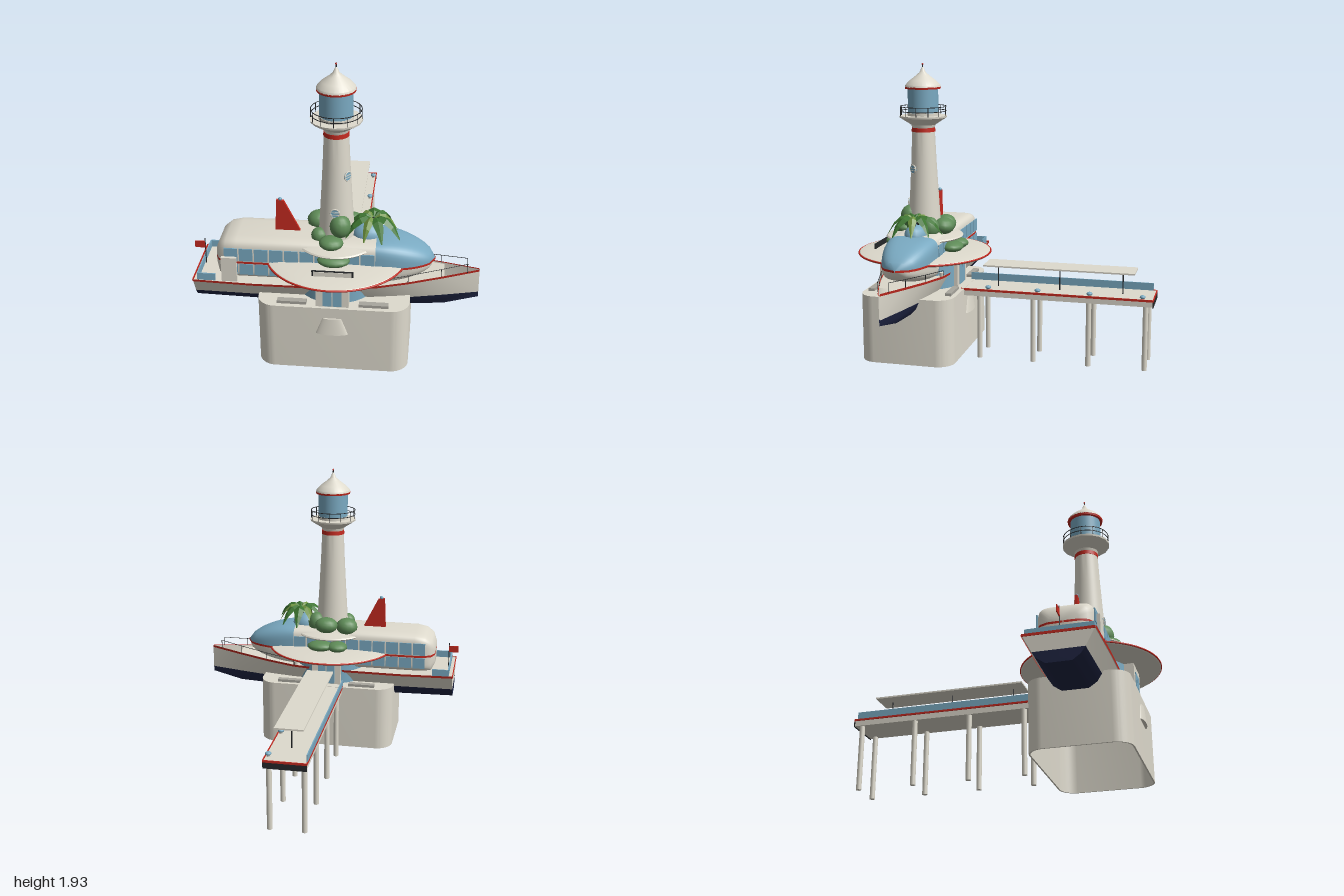
import * as THREE from 'three';
import { toCreasedNormals } from 'three/addons/utils/BufferGeometryUtils.js';

const mat = (name, color) => {
  const m = new THREE.MeshStandardMaterial({ color, side: THREE.DoubleSide });
  m.name = name;
  return m;
};

export function createModel() {
  const white = mat('warm white', 0xdedacd), red = mat('red', 0xc42a20), blue = mat('glass blue', 0x7aaac2);
  const navy = mat('navy', 0x1e2442), dark = mat('charcoal', 0x26282a), grey = mat('grey', 0xa9a79e);
  const bushGreen = mat('bush green', 0x5f8c58), leafGreen = mat('palm green', 0x3c7430), lime = mat('light palm green', 0x6f9440);

  const model = new THREE.Group();
  const station = new THREE.Group(); // everything centred on the tower axis
  station.name = 'station';
  station.position.z = 0.55;
  model.add(station);

  const add = (name, geo, m, x = 0, y = 0, z = 0, parent = station) => {
    const mesh = new THREE.Mesh(geo, m);
    mesh.name = name;
    mesh.position.set(x, y, z);
    parent.add(mesh);
    return mesh;
  };
  // Box given by its limits
  const box = (name, m, x0, x1, y0, y1, z0, z1, parent = station) =>
    add(name, new THREE.BoxGeometry(x1 - x0, y1 - y0, z1 - z0), m, (x0 + x1) / 2, (y0 + y1) / 2, (z0 + z1) / 2, parent);
  const cyl = (name, m, r0, r1, y0, y1, x = 0, z = 0, parent = station, n = 32) =>
    add(name, new THREE.CylinderGeometry(r1, r0, y1 - y0, n), m, x, (y0 + y1) / 2, z, parent);
  const lathe = (name, m, pts, n = 48) =>
    add(name, toCreasedNormals(new THREE.LatheGeometry(pts.map(p => new THREE.Vector2(...p)), n), 0.5), m);
  const rod = (name, m, a, b, r = 0.003) =>
    add(name, new THREE.TubeGeometry(new THREE.LineCurve3(new THREE.Vector3(...a), new THREE.Vector3(...b)), 1, r, 6), m);
  const ball = (name, m, x, y, z, rx, ry = rx, rz = rx, parent = station) => {
    const b = add(name, new THREE.SphereGeometry(1, 14, 10), m, x, y, z, parent);
    b.scale.set(rx, ry, rz);
    return b;
  };
  // Skin through a row of equal-length cross-sections
  const loft = (name, m, rings, crease = 0.6) => {
    const n = rings[0].length, idx = [];
    for (let i = 0; i < rings.length - 1; i++)
      for (let j = 0; j < n - 1; j++) {
        const a = i * n + j, b = a + n;
        idx.push(a, b, a + 1, b, b + 1, a + 1);
      }
    const g = new THREE.BufferGeometry();
    g.setAttribute('position', new THREE.Float32BufferAttribute(rings.flat(2), 3));
    g.setIndex(idx);
    return add(name, toCreasedNormals(g, crease), m);
  };

  // Hollow foundation with rounded corners
  const rounded = (Path, w, d, r) => {
    const s = new Path();
    s.absarc(w - r, d - r, r, 0, Math.PI / 2);
    s.absarc(-w + r, d - r, r, Math.PI / 2, Math.PI);
    s.absarc(-w + r, -d + r, r, Math.PI, Math.PI * 1.5);
    s.absarc(w - r, -d + r, r, Math.PI * 1.5, Math.PI * 2);
    s.closePath();
    return s;
  };
  const slab = (name, shape, y, h) => {
    const g = new THREE.ExtrudeGeometry(shape, { depth: h, bevelEnabled: false, curveSegments: 10 });
    g.rotateX(-Math.PI / 2);
    return add(name, toCreasedNormals(g, 0.5), white, 0, y);
  };
  const wall = rounded(THREE.Shape, 0.465, 0.31, 0.11);
  wall.holes.push(rounded(THREE.Path, 0.455, 0.3, 0.1));
  slab('foundationWall', wall, 0.03, 0.43);
  slab('foundationTop', rounded(THREE.Shape, 0.465, 0.31, 0.11), 0.46, 0.01);
  for (const s of [1, -1]) {
    const hood = cyl('foundationHood', white, 0.1, 0.06, 0.29, 0.4, 0, s * 0.305);
    hood.scale.z = 0.28;
    for (const q of [1, -1]) box('deckBench', grey, q * 0.25 - 0.09, q * 0.25 + 0.09, 0.47, 0.488, s * 0.26 - 0.02, s * 0.26 + 0.02);
  }

  // Ship hull: x, half width, rail height, keel height
  const hull = [[-0.87, 0.212, 0.563, 0.375], [-0.5, 0.222, 0.56, 0.37], [0, 0.222, 0.563, 0.37], [0.25, 0.2, 0.572, 0.37],
    [0.45, 0.15, 0.583, 0.37], [0.67, 0.08, 0.597, 0.372], [0.885, 0.003, 0.61, 0.415]];
  const lower = ([x, w, , k]) => [[1, 0.45], [0.82, k + 0.035], [0.5, k], [-0.5, k], [-0.82, k + 0.035], [-1, 0.45]]
    .map(([f, y]) => [x, y, f * w * 0.72]);
  loft('hullBottom', navy, hull.map(lower));
  const flat = ring => ring.map(([x, y]) => [x, y, 0]);
  loft('transomBottom', navy, [lower(hull[0]), flat(lower(hull[0]))]);
  loft('transomTop', white, [0.45, 0.563].map((y, i) => [[-0.87, y, (i ? 1 : 0.72) * 0.212], [-0.87, y, (i ? -1 : -0.72) * 0.212]]));
  loft('shipDeck', white, hull.slice(0, 6).map(([x, w, t]) => [[x, t - 0.008, w], [x, t - 0.008, -w]]));
  for (const s of [1, -1]) {
    loft('hullSide', white, hull.map(([x, w, t]) => [[x, 0.45, s * w * 0.72], [x, t, s * w]]));
    loft('hullStripe', red, hull.map(([x, w, t]) => [[x, t - 0.012, s * (w + 0.001)], [x, t + 0.004, s * (w + 0.004)]]));
    // Bow railing
    const rail = [[0.24, 0.2, 0.572, 0.61], [0.45, 0.148, 0.583, 0.63], [0.65, 0.085, 0.596, 0.648], [0.81, 0.035, 0.604, 0.665]];
    rail.forEach(([x, w, y, t], i) => {
      rod('bowRailPost', dark, [x, y, s * w], [x, t, s * w], 0.002);
      if (i) rod('bowRail', dark, [rail[i - 1][0], rail[i - 1][3], s * rail[i - 1][1]], [x, t, s * w], 0.002);
    });
    cyl('bollard', white, 0.012, 0.016, 0.565, 0.595, 0.23, s * 0.185, station, 12);
    box('sternScreen', blue, -0.84, -0.73, 0.56, 0.607, s * 0.2 - 0.004, s * 0.2 + 0.004);
  }
  box('transomStripe', red, -0.873, -0.868, 0.551, 0.567, -0.212, 0.212);
  box('sternBackScreen', blue, -0.845, -0.837, 0.56, 0.607, -0.2, 0.2);
  box('gangwayDoor', white, -0.69, -0.595, 0.56, 0.725, 0.185, 0.205);
  rod('flagpole', dark, [-0.83, 0.56, 0], [-0.83, 0.735, 0]);
  box('flag', red, -0.895, -0.83, 0.67, 0.715, -0.003, 0.003);

  // Streamlined cabin: x, half width, top, bottom, corner sharpness
  const M = 0.68;
  const body = [[-0.74, 0, 0.69, 0.67, 0.5], [-0.738, 0.09, 0.73, 0.6, 0.5], [-0.715, 0.14, 0.785, 0.56, 0.42], [-0.67, 0.165, 0.815, 0.56, 0.36],
    [-0.6, 0.172, 0.828, 0.56, 0.34], [-0.2, 0.172, 0.83, 0.56, 0.34], [0.25, 0.172, 0.828, 0.56, 0.4]];
  const nose = [body[6]];
  for (let i = 1; i <= 10; i++) {
    const t = i / 10, f = Math.sqrt(1 - t * t);
    nose.push([0.25 + 0.36 * t, 0.172 * f, M + 0.148 * f ** 1.3 + 0.001, M - 0.12 * f, 0.4 + 0.4 * t]);
  }
  const arc = (rows, from, grow = 0) => rows.map(([x, w, t, b, p]) => Array.from({ length: 21 }, (_, j) => {
    const a = from + Math.PI * j / 20, c = Math.cos(a), s = Math.sin(a), h = from ? M - b : t - M;
    return [x, M + h * Math.sign(s) * Math.abs(s) ** p, (w + grow) * Math.sign(c) * Math.abs(c) ** p];
  }));
  loft('cabinRoof', white, arc(body, 0), 0.8);
  loft('cabinLower', white, arc(body, Math.PI), 0.8);
  loft('noseGlass', blue, arc(nose, 0), 0.8);
  loft('noseLower', white, arc(nose, Math.PI), 0.8);
  for (const s of [1, -1]) {
    loft('cabinStripe', red, [...body, ...nose].map(([x, w]) => [[x, 0.673, s * (w + 0.004)], [x, 0.687, s * (w + 0.004)]]));
    for (let i = 0; i < 10; i++) {
      const x = -0.675 + i * 0.093;
      box('upperWindow', blue, x, x + 0.083, 0.69, 0.775, s * 0.1715 - 0.004, s * 0.1715 + 0.004);
      box('lowerWindow', blue, x, x + 0.083, 0.595, 0.67, s * 0.1715 - 0.004, s * 0.1715 + 0.004);
    }
  }

  // Tail fin
  const fin = new THREE.Shape([[-0.38, 0.82], [-0.22, 0.82], [-0.325, 1.03], [-0.37, 1.035]].map(p => new THREE.Vector2(...p)));
  add('tailFin', new THREE.ExtrudeGeometry(fin, { depth: 0.018, bevelEnabled: false }), red, 0, 0, -0.009);
  ball('finLamp', blue, -0.347, 1.04, 0, 0.012);

  // Round hall and its saucer roofs
  cyl('glassHall', blue, 0.25, 0.25, 0.47, 0.665);
  lathe('saucerRoof', white, [[0, 0.65], [0.3, 0.655], [0.435, 0.668], [0.445, 0.676], [0.435, 0.686], [0.38, 0.697], [0.2, 0.706], [0, 0.707]], 64);
  add('saucerRim', new THREE.TorusGeometry(0.441, 0.006, 8, 64).rotateX(Math.PI / 2), red, 0, 0.679);
  lathe('upperSaucer', white, [[0, 0.77], [0.2, 0.772], [0.25, 0.781], [0.257, 0.789], [0.25, 0.797], [0.2, 0.806], [0, 0.835]]);
  cyl('upperDrum', white, 0.15, 0.15, 0.7, 0.78);
  for (const [s, z] of [[1, 0.29], [-1, 0.255]]) {
    box('entrance', white, -0.1, 0.1, 0.47, 0.655, Math.min(0, s * z), Math.max(0, s * z));
    for (const x of [-0.031, 0.031]) box('entranceDoor', blue, x - 0.027, x + 0.027, 0.475, 0.61, s * z - 0.004, s * z + 0.004);
  }
  box('signFrame', dark, -0.12, 0.13, 0.69, 0.735, 0.306, 0.314);
  box('signPanel', white, -0.11, 0.12, 0.697, 0.729, 0.312, 0.317);

  // Lighthouse
  lathe('towerShaft', white, [[0.115, 0.78], [0.106, 0.9], [0.094, 1.1], [0.083, 1.3], [0.075, 1.49]]);
  cyl('towerBand', red, 0.078, 0.077, 1.485, 1.512);
  lathe('gallery', white, [[0.074, 1.51], [0.08, 1.53], [0.155, 1.578], [0.157, 1.59], [0, 1.592]], 16);
  cyl('lantern', blue, 0.1, 0.1, 1.59, 1.775);
  cyl('lanternSill', white, 0.104, 0.104, 1.59, 1.61);
  cyl('lanternBand', red, 0.116, 0.118, 1.765, 1.778);
  lathe('lanternRoof', white, [[0, 1.772], [0.118, 1.776], [0.114, 1.79], [0.085, 1.82], [0.045, 1.85], [0.02, 1.872], [0.008, 1.9], [0, 1.91]], 24);
  rod('spire', dark, [0, 1.89, 0], [0, 1.93, 0], 0.004);
  ball('spireTip', red, 0, 1.925, 0, 0.006);
  for (const y of [1.62, 1.65])
    add('galleryRail', new THREE.TorusGeometry(0.151, 0.0025, 5, 32).rotateX(Math.PI / 2), dark, 0, y);
  for (let i = 0; i < 12; i++) {
    const a = i * Math.PI / 6, x = 0.151 * Math.cos(a), z = 0.151 * Math.sin(a);
    rod('galleryPost', dark, [x, 1.59, z], [x, 1.65, z], 0.0025);
  }
  // Portholes
  for (const [a, y, r] of [[0, 1.01, 0.1], [0.95, 1.24, 0.088]]) {
    const g = new THREE.Group();
    g.name = 'porthole';
    g.position.set(Math.sin(a) * r, y, Math.cos(a) * r);
    g.rotation.y = a;
    station.add(g);
    add('portholeGlass', new THREE.CylinderGeometry(0.028, 0.028, 0.009, 20).rotateX(Math.PI / 2), blue, 0, 0, 0, g);
    add('portholeFrame', new THREE.TorusGeometry(0.028, 0.004, 6, 20), white, 0, 0, 0.002, g);
    for (const k of [-0.008, 0.008]) box('portholeBar', white, -0.026, 0.026, k - 0.002, k + 0.002, 0.003, 0.007, g);
  }

  // Planting
  [[-0.12, 0.85, -0.11, 0.075, 0.06], [0.02, 0.86, -0.14, 0.08, 0.055], [0.03, 0.92, 0.09, 0.065, 0.075], [-0.02, 0.83, 0.14, 0.075, 0.04],
    [0.1, 0.86, -0.07, 0.06, 0.07], [-0.1, 0.84, 0.07, 0.05, 0.05], [0, 0.745, 0.2, 0.1, 0.035], [0.05, 0.73, -0.21, 0.09, 0.035], [-0.07, 0.73, -0.21, 0.07, 0.035]]
    .forEach(([x, y, z, r, h]) => ball('bush', bushGreen, x, y, z, r, h, Math.min(r, 0.07)));

  // Roof dome and palm
  ball('roofDome', blue, 0.19, 0.82, 0, 0.095, 0.08, 0.075);
  cyl('palmTrunk', dark, 0.014, 0.011, 0.82, 0.94, 0.22, 0, station, 8);
  for (const [x, z] of [[0.2, 0.025], [0.24, 0.02], [0.22, -0.028]]) ball('coconut', dark, x, 0.915, z, 0.015);
  for (let i = 0; i < 9; i++) {
    const rings = [0, 0.25, 0.5, 0.75, 1].map(t => {
      const w = 0.004 + 0.034 * Math.sin(Math.PI * t ** 0.8), y = 0.935 + 0.19 * t - 0.28 * t * t;
      return [[0.19 * t, y - w * 0.5, -w], [0.19 * t, y, 0], [0.19 * t, y - w * 0.5, w]];
    });
    const leaf = loft('palmLeaf', i % 3 ? leafGreen : lime, rings, 0.05);
    leaf.position.x = 0.225;
    leaf.rotation.y = i * Math.PI * 2 / 9 + 0.2;
    const k = 0.8 + 0.1 * (i % 3);
    leaf.scale.set(k, 1, k);
  }

  // Pier
  const pier = new THREE.Group();
  pier.name = 'pier';
  model.add(pier);
  box('pierDeck', white, -0.12, 0.137, 0.425, 0.468, -0.995, 0.26, pier);
  box('pierEdge', red, 0.137, 0.143, 0.46, 0.474, -0.995, 0.26, pier);
  box('pierScreen', blue, -0.124, -0.117, 0.468, 0.517, -0.975, 0.26, pier);
  box('pierScreenBase', red, -0.126, -0.12, 0.46, 0.472, -0.995, 0.26, pier);
  box('pierEndFender', dark, -0.124, 0.142, 0.42, 0.458, -1, -0.994, pier);
  box('pierEndStripe', red, -0.124, 0.142, 0.458, 0.472, -1, -0.994, pier);
  box('pierCanopy', white, -0.08, 0.1, 0.617, 0.627, -0.875, 0.12, pier);
  for (const z of [0.04, -0.375, -0.79]) cyl('canopyPost', dark, 0.004, 0.004, 0.465, 0.62, 0.01, z, pier, 8);
  for (const z of [0.14, -0.22, -0.585, -0.95])
    for (const x of [-0.1, 0.115]) cyl('pierPile', white, 0.017, 0.017, 0, 0.43, x, z, pier, 14);
  for (const z of [0.08, -0.25, -0.59, -0.93]) {
    cyl('pierLampBase', white, 0.012, 0.012, 0.468, 0.482, 0.122, z, pier, 12);
    ball('pierLamp', blue, 0.122, 0.486, z, 0.019, 0.012, 0.019, pier);
  }
  return model;
}
